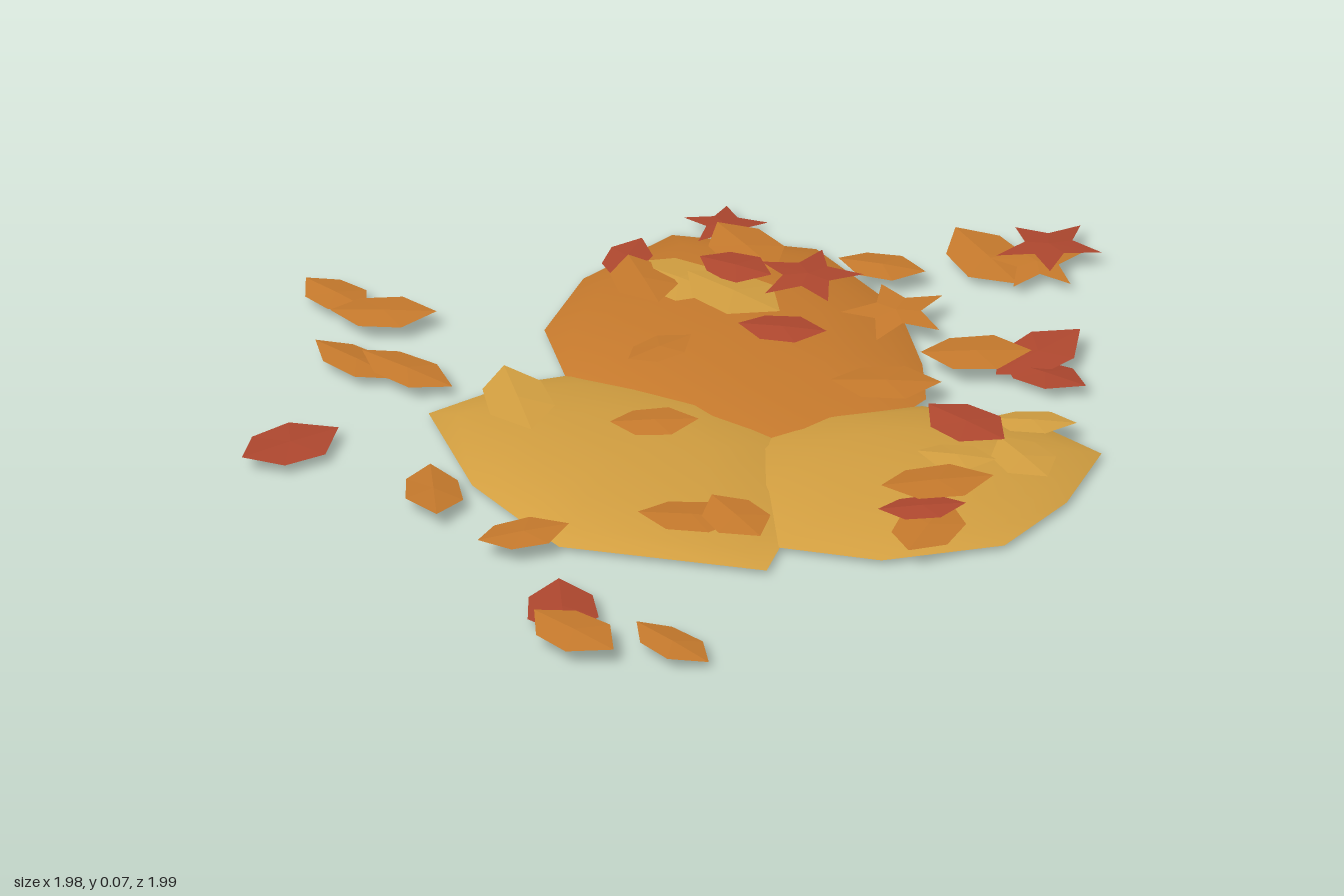
import * as THREE from 'three';
import { toCreasedNormals } from 'three/addons/utils/BufferGeometryUtils.js';

const mat = (name, color) => {
  const m = new THREE.MeshStandardMaterial({ color, side: THREE.DoubleSide });
  m.name = name;
  return m;
};

// Low dome: the outline is scaled towards its centre, ring by ring
function moundGeometry([cx, cz], outline, base) {
  const rings = [[0, base], [0.93, base], [1, 0.012], [0.85, 0.03], [0.5, 0.046], [0, 0.054]];
  const n = outline.length, pos = [], idx = [];
  for (const [s, y] of rings)
    for (const [x, z] of outline) pos.push(cx + (x - cx) * s, y, cz + (z - cz) * s);
  for (let r = 0; r < rings.length - 1; r++)
    for (let i = 0; i < n; i++) {
      const j = (i + 1) % n, a = r * n + i, b = r * n + j, c = a + n, d = b + n;
      if (rings[r][0] > 0) idx.push(a, b, c);
      if (rings[r + 1][0] > 0) idx.push(b, d, c);
    }
  const g = new THREE.BufferGeometry();
  g.setAttribute('position', new THREE.Float32BufferAttribute(pos, 3));
  g.setIndex(idx);
  return toCreasedNormals(g, 0.6);
}

// Fan of triangles around a raised centre, from [x, y, z] rim points
function fanGeometry(rim, centreY) {
  const pos = [];
  rim.forEach((p, i) => pos.push(0, centreY, 0, ...rim[(i + 1) % rim.length], ...p));
  const g = new THREE.BufferGeometry();
  g.setAttribute('position', new THREE.Float32BufferAttribute(pos, 3));
  g.computeVertexNormals();
  return g;
}

// Pointed leaf along x, slightly folded at the midrib
const leafGeometry = (l, w) => fanGeometry([
  [l, -0.002, 0], [l * 0.35, -0.004, w], [-l * 0.45, -0.004, w * 0.9],
  [-l, 0.003, 0], [-l * 0.45, -0.004, -w * 0.9], [l * 0.35, -0.004, -w],
], 0.003);

// Five-pointed leaf
function starGeometry(r) {
  const rim = [];
  for (let i = 0; i < 10; i++) {
    const a = i * Math.PI / 5, s = i % 2 ? r * 0.45 : r;
    rim.push([Math.cos(a) * s, i % 2 ? 0.001 : -0.004, Math.sin(a) * s]);
  }
  return fanGeometry(rim, 0.004);
}

export function createModel() {
  const group = new THREE.Group();
  group.name = 'leafPile';
  const Y = mat('golden yellow', 0xd4a041);
  const O = mat('autumn orange', 0xc87b2d);
  const R = mat('rust red', 0xb0482f);

  const add = (name, geo, material) => {
    const m = new THREE.Mesh(geo, material);
    m.name = name;
    group.add(m);
    return m;
  };

  // Three overlapping mounds
  add('leftMound', moundGeometry([-0.15, 0.13], [
    [0.16, 0.58], [0.26, 0.3], [0.27, 0.05], [0.1, -0.2], [-0.23, -0.3],
    [-0.36, -0.27], [-0.56, -0.15], [-0.48, 0.17], [-0.38, 0.33], [-0.3, 0.45]], 0.004), Y);
  add('rightMound', moundGeometry([0.52, 0.2], [
    [0.19, 0.48], [0.42, 0.55], [0.7, 0.5], [0.85, 0.32], [0.94, 0.11],
    [0.81, -0.02], [0.55, -0.12], [0.3, -0.1], [0.1, 0.05], [0.09, 0.25]], 0.003), Y);
  add('backMound', moundGeometry([0.15, -0.42], [
    [0.05, 0.05], [0.3, 0.08], [0.48, -0.06], [0.56, -0.15], [0.56, -0.3], [0.52, -0.55],
    [0.35, -0.82], [0.03, -0.9], [-0.18, -0.72], [-0.28, -0.5], [-0.24, -0.27]], 0), O);

  // Lay a leaf at x, y, z with a heading in degrees and a slight tilt
  let count = 0;
  const lay = (name, geo, material, x, y, z, angle) => {
    const m = add(name, geo, material);
    m.position.set(x, y, z);
    const tilt = y < 0.045 ? 0.07 : 0.03;
    m.rotation.set(tilt * Math.sin(count * 2.1), -angle * Math.PI / 180, tilt * Math.sin(count * 1.3 + 1), 'YXZ');
    count++;
  };

  // Leaves scattered on the ground: x, y, z, half length, half width, angle
  const ground = [
    [O, -0.74, 0.035, -0.65, 0.1, 0.06, 50], [O, -0.64, 0.045, -0.55, 0.12, 0.065, 5],
    [O, -0.71, 0.033, -0.36, 0.12, 0.06, 42], [O, -0.6, 0.042, -0.3, 0.12, 0.06, 35],
    [R, -0.88, 0.036, 0, 0.13, 0.075, -30], [O, -0.57, 0.035, 0.22, 0.12, 0.065, 90],
    [R, -0.31, 0.034, 0.75, 0.13, 0.08, 90], [O, -0.29, 0.045, 0.87, 0.12, 0.075, 45],
    [O, -0.07, 0.03, 0.91, 0.11, 0.06, 45], [O, 0.68, 0.05, -0.29, 0.125, 0.075, 0],
    [R, 0.82, 0.038, -0.3, 0.13, 0.07, -40], [R, 0.83, 0.03, -0.22, 0.11, 0.06, 35],
    [O, 0.73, 0.03, -0.74, 0.13, 0.08, 60],
  ];
  // Leaves resting on the mounds
  const resting = [
    [Y, -0.36, 0.053, -0.14, 0.135, 0.075, 80], [O, -0.03, 0.061, -0.33, 0.09, 0.05, -35],
    [O, -0.06, 0.061, -0.01, 0.1, 0.06, 0], [O, -0.38, 0.048, 0.44, 0.11, 0.06, -18],
    [O, 0, 0.056, 0.4, 0.12, 0.07, 5], [O, 0.1, 0.063, 0.42, 0.1, 0.07, 60],
    [R, 0.64, 0.064, 0.04, 0.115, 0.07, 45], [Y, 0.79, 0.05, 0.02, 0.1, 0.05, 10],
    [Y, 0.76, 0.058, 0.19, 0.1, 0.065, 60], [Y, 0.61, 0.061, 0.18, 0.09, 0.05, 10],
    [O, 0.56, 0.068, 0.3, 0.13, 0.075, -10], [R, 0.52, 0.062, 0.4, 0.1, 0.05, -5],
    [O, 0.53, 0.054, 0.47, 0.12, 0.075, -65], [O, 0.47, 0.057, -0.16, 0.125, 0.075, 3],
    [O, 0.49, 0.05, -0.68, 0.1, 0.055, 15], [R, 0.25, 0.062, -0.4, 0.1, 0.055, 10],
    [O, -0.05, 0.062, -0.63, 0.11, 0.07, 75], [R, -0.08, 0.048, -0.75, 0.09, 0.05, -65],
    [Y, 0.03, 0.055, -0.64, 0.12, 0.08, 35], [Y, 0.15, 0.058, -0.57, 0.13, 0.085, 40],
    [O, 0.19, 0.055, -0.77, 0.12, 0.075, 60], [R, 0.16, 0.065, -0.67, 0.09, 0.06, 30],
  ];
  for (const [m, x, y, z, l, w, a] of ground) lay('groundLeaf', leafGeometry(l, w), m, x, y, z, a);
  for (const [m, x, y, z, l, w, a] of resting) lay('moundLeaf', leafGeometry(l, w), m, x, y, z, a);

  // Star-shaped leaves: x, y, z, radius, angle
  for (const [m, x, y, z, r, a] of [
    [R, 0.87, 0.042, -0.76, 0.125, 20], [O, 0.84, 0.033, -0.7, 0.11, 50],
    [R, 0.15, 0.035, -0.9, 0.1, -85], [R, 0.32, 0.066, -0.62, 0.125, 0],
    [O, 0.51, 0.054, -0.47, 0.125, -30],
  ]) lay('starLeaf', starGeometry(r), m, x, y, z, a);

  return group;
}
